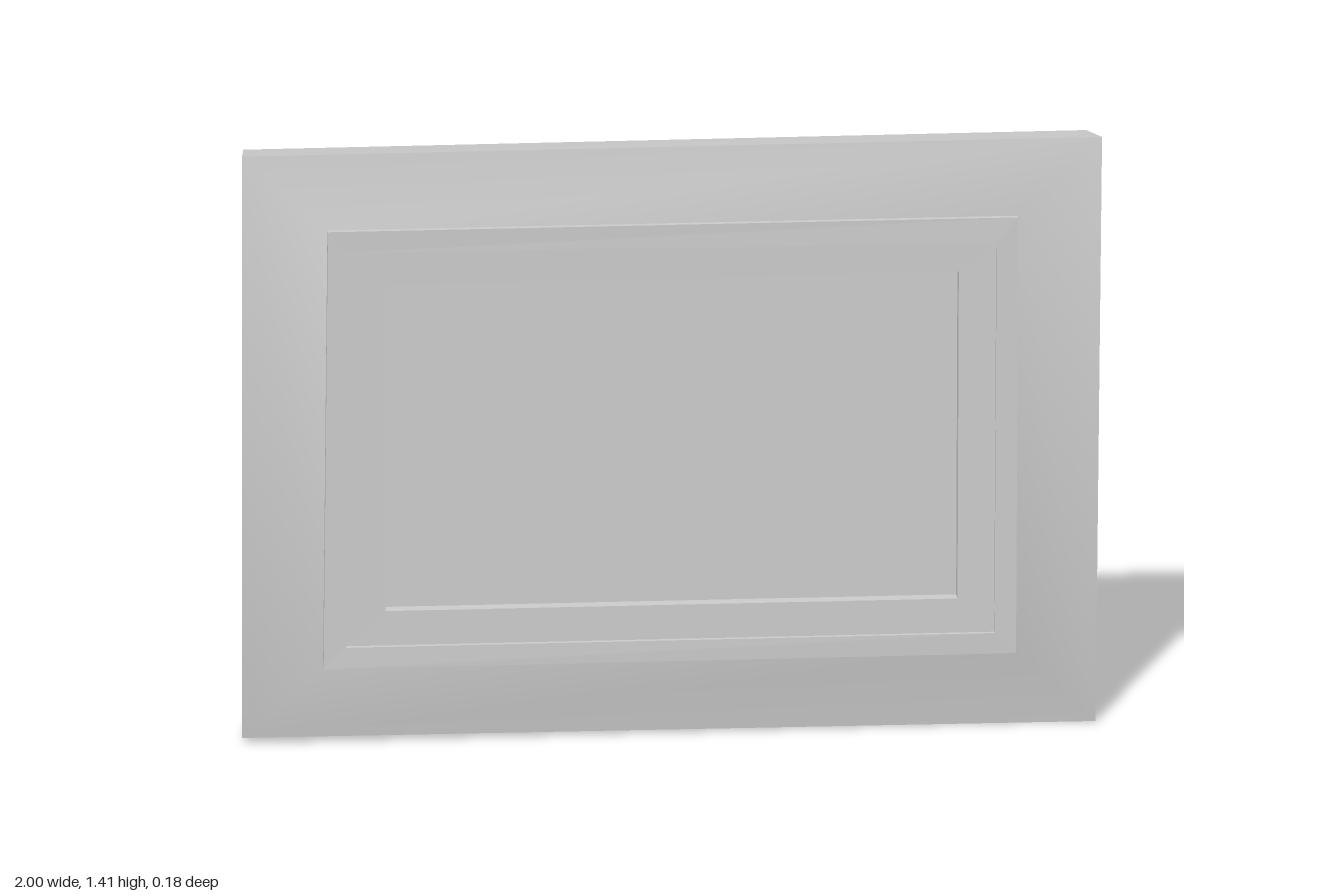
import * as THREE from 'three';

// Corner loop, counter-clockwise from the front: bottom-left, bottom-right, top-right, top-left
const backEdge = [[-0.985, 0.04, -0.09], [0.97, 0.035, -0.09], [0.975, 1.395, -0.09], [-0.985, 1.4, -0.09]];
const rim = [[-1, 0.02, 0.04], [0.985, 0.005, 0.03], [1, 1.413, 0.032], [-1, 1.42, 0.036]];
const bevelTop = [[-0.815, 0.195, 0.076], [0.795, 0.19, 0.072], [0.8, 1.24, 0.072], [-0.805, 1.248, 0.076]];
const ridgeInner = [[-0.763, 0.245, 0.089], [0.745, 0.24, 0.087], [0.75, 1.18, 0.087], [-0.76, 1.197, 0.089]];
const innerLip = [[-0.67, 0.327, 0.075], [0.66, 0.322, 0.075], [0.663, 1.11, 0.075], [-0.668, 1.112, 0.075]];

const atDepth = (loop, z) => loop.map(([x, y]) => [x, y, z]);
const ridgeOuter = bevelTop.map(([x, y, z]) => [x, y, z + 0.014]);
const stepFoot = atDepth(ridgeInner, 0.076);
const floorEdge = atDepth(innerLip, 0.04);

// Band of four faces between two loops; smooth bands share their corner normals
function band(outer, inner, smooth = false) {
  const indices = [];
  for (let i = 0; i < 4; i++) {
    const j = (i + 1) % 4;
    indices.push(i, j, 4 + j, i, 4 + j, 4 + i);
  }
  return build([...outer, ...inner], indices, smooth);
}

// Single flat panel filling a loop
function panel(loop, facesBack = false) {
  return build(loop, facesBack ? [0, 2, 1, 0, 3, 2] : [0, 1, 2, 0, 2, 3], true);
}

function build(points, indices, smooth) {
  let geometry = new THREE.BufferGeometry();
  geometry.setAttribute('position', new THREE.Float32BufferAttribute(points.flat(), 3));
  geometry.setIndex(indices);
  if (!smooth) geometry = geometry.toNonIndexed();
  geometry.computeVertexNormals();
  return geometry;
}

export function createModel() {
  const group = new THREE.Group();
  group.name = 'pictureFrame';
  const grey = new THREE.MeshStandardMaterial({ color: 0xcccccc });
  grey.name = 'plain grey';

  const add = (name, geometry) => {
    const mesh = new THREE.Mesh(geometry, grey);
    mesh.name = name;
    group.add(mesh);
  };

  // Body of the frame
  add('backPanel', panel(backEdge, true));
  add('outerSides', band(backEdge, rim));
  add('slopedBorder', band(rim, bevelTop, true));

  // Raised ridge around the opening
  add('ridgeOuterWall', band(bevelTop, ridgeOuter));
  add('ridgeFace', band(ridgeOuter, ridgeInner));
  add('ridgeInnerWall', band(ridgeInner, stepFoot));

  // Flat mount and sunken picture
  add('mount', band(stepFoot, innerLip));
  add('recessWall', band(innerLip, floorEdge));
  add('picture', panel(floorEdge));

  return group;
}
